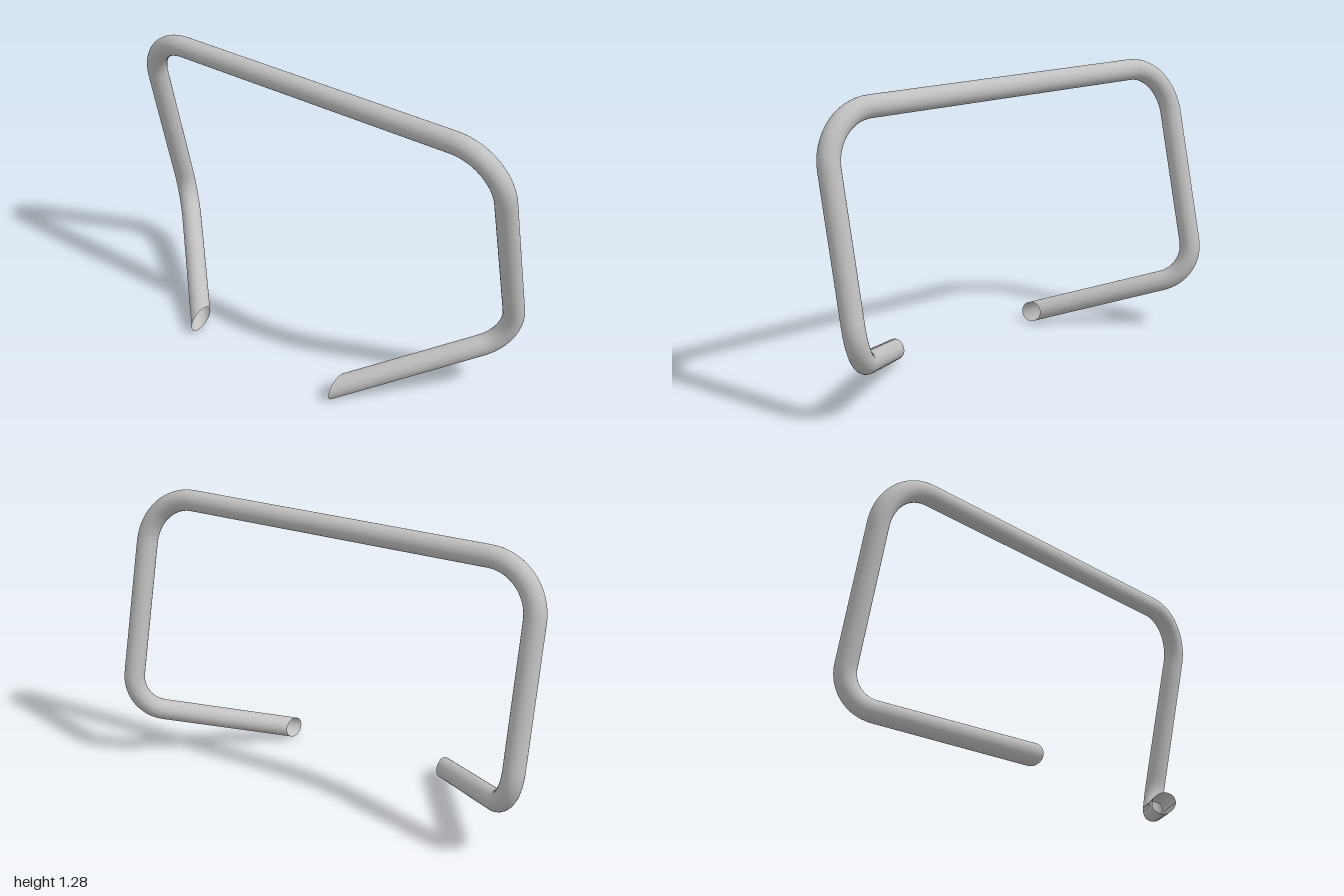
import * as THREE from 'three';

const RADIUS = 0.047;
const CUT = 0.4; // the two legs are cut off at z = +-CUT

// Path of straight runs joined by near-circular bends.
// Each corner has a setback: distance from the corner to where its bend starts.
function bentPath(points, setbacks) {
  const path = new THREE.CurvePath();
  let from = points[0];
  for (let i = 1; i < points.length - 1; i++) {
    const p = points[i], d = setbacks[i - 1];
    const dirIn = p.clone().sub(points[i - 1]).normalize();
    const dirOut = points[i + 1].clone().sub(p).normalize();
    const angle = dirIn.angleTo(dirOut);
    const handle = (4 / 3) * Math.tan(angle / 4) * d / Math.tan(angle / 2);
    const a = p.clone().addScaledVector(dirIn, -d);
    const b = p.clone().addScaledVector(dirOut, d);
    path.add(new THREE.LineCurve3(from, a));
    path.add(new THREE.CubicBezierCurve3(
      a,
      a.clone().addScaledVector(dirIn, handle),
      b.clone().addScaledVector(dirOut, -handle),
      b));
    from = b;
  }
  path.add(new THREE.LineCurve3(from, points[points.length - 1]));
  path.arcLengthDivisions = 600;
  return path;
}

export function createModel() {
  const group = new THREE.Group();
  group.name = 'bentHandle';
  const metal = new THREE.MeshStandardMaterial({ color: 0xc0c0c0, side: THREE.DoubleSide });
  metal.name = 'light grey metal';

  // Centre line of one side, mirrored in z for the other
  const legEnd = new THREE.Vector3(-0.246, 0.052, CUT);
  const lowCorner = new THREE.Vector3(0.295, 0.269, 0.953);
  const topCorner = new THREE.Vector3(0.064, 1.235, 0.943);
  const legDir = legEnd.clone().sub(lowCorner).normalize();
  const overrun = legEnd.clone().addScaledVector(legDir, 0.12);
  const mirror = (v) => new THREE.Vector3(v.x, v.y, -v.z);

  const path = bentPath(
    [overrun, lowCorner, topCorner, mirror(topCorner), mirror(lowCorner), mirror(overrun)],
    [0.155, 0.225, 0.225, 0.155]);
  const geometry = new THREE.TubeGeometry(path, 220, RADIUS, 32, false);

  // Trim the legs: slide overrunning vertices back along the leg to the cut plane
  const pos = geometry.attributes.position;
  for (let i = 0; i < pos.count; i++) {
    const z = pos.getZ(i), over = CUT - Math.abs(z);
    if (pos.getY(i) > 0.5 || over <= 0) continue;
    const t = over / legDir.z;
    pos.setXYZ(i, pos.getX(i) + legDir.x * t, pos.getY(i) + legDir.y * t, Math.sign(z) * CUT);
  }

  const tube = new THREE.Mesh(geometry, metal);
  tube.name = 'bentTube';
  group.add(tube);
  return group;
}
